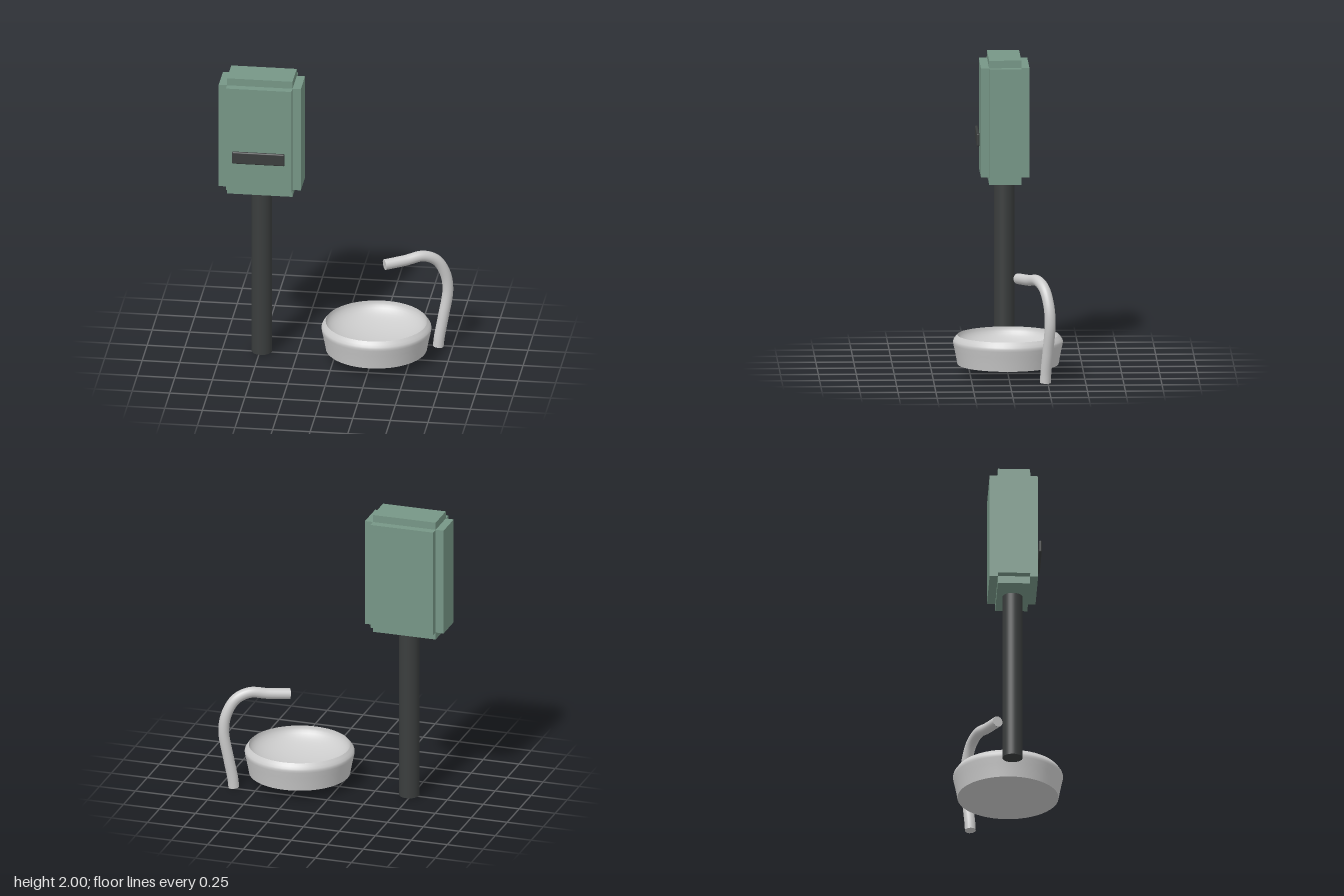
import * as THREE from 'three';
import { RoundedBoxGeometry } from 'three/addons/geometries/RoundedBoxGeometry.js';

const grey = new THREE.MeshStandardMaterial({ color: 0xcccccc });
const green = new THREE.MeshStandardMaterial({ color: 0x769686 });
const dark = new THREE.MeshStandardMaterial({ color: 0x3a3d3d });

function add(parent, name, geometry, material, x = 0, y = 0, z = 0) {
  const mesh = new THREE.Mesh(geometry, material);
  mesh.name = name;
  mesh.position.set(x, y, z);
  parent.add(mesh);
  return mesh;
}

function group(parent, name) {
  const g = new THREE.Group();
  g.name = name;
  parent.add(g);
  return g;
}

export function createModel() {
  const model = new THREE.Group();
  model.name = 'dispenserAndBasin';

  // Dispenser: three crossed boxes give the stepped edges
  const dispenser = group(model, 'dispenser');
  const cx = -0.487, cy = 1.585;
  [
    ['cabinetSides', 0.546, 0.73, 0.212],
    ['cabinetTopAndBottom', 0.436, 0.83, 0.212],
    ['cabinetFrontAndBack', 0.436, 0.73, 0.32],
  ].forEach(([name, w, h, d]) => add(dispenser, name, new THREE.BoxGeometry(w, h, d), green, cx, cy, 0));
  add(dispenser, 'slot', new RoundedBoxGeometry(0.35, 0.085, 0.02, 3, 0.009), dark, cx, 1.463, 0.177);
  add(dispenser, 'post', new THREE.CylinderGeometry(0.067, 0.067, 1.18, 32), dark, cx, 0.59, 0);

  // Basin: flat base, flared wall, rolled shoulder
  const basin = group(model, 'basin');
  basin.position.x = 0.275;
  const shell = [[0.334, 0.065], [0.342, 0.11], [0.352, 0.16], [0.361, 0.2], [0.363, 0.215],
    [0.36, 0.227], [0.35, 0.242], [0.335, 0.26]].map(([r, y]) => new THREE.Vector2(r, y));
  add(basin, 'basinWall', new THREE.LatheGeometry(shell, 48), grey);
  const base = add(basin, 'basinBase', new THREE.CircleGeometry(0.334, 48), grey, 0, 0.065, 0);
  base.rotation.x = Math.PI / 2;

  // Hollow of the basin, a shallow elliptical dish
  const dish = [];
  for (let i = 0; i <= 14; i++) {
    const a = (i / 14) * Math.PI / 2;
    dish.push(new THREE.Vector2(0.335 * Math.cos(a), 0.26 - 0.14 * Math.sin(a)));
  }
  add(basin, 'basinHollow', new THREE.LatheGeometry(dish, 48), grey);

  // Faucet: a bent tube lying in one slanted vertical plane
  const faucet = group(model, 'faucet');
  const path = new THREE.CatmullRomCurve3(
    [[0.655, 0], [0.661, 0.06], [0.685, 0.2], [0.715, 0.4], [0.698, 0.52], [0.643, 0.622],
      [0.56, 0.664], [0.45, 0.65], [0.32, 0.64]]
      .map(([x, y]) => new THREE.Vector3(x, y, -0.066 - 0.5 * (x - 0.32))));
  add(faucet, 'spout', new THREE.TubeGeometry(path, 60, 0.036, 20), grey);
  [0, 1].forEach((t) => {
    const cap = add(faucet, t ? 'spoutEnd' : 'spoutFoot', new THREE.CircleGeometry(0.036, 20), grey);
    const p = path.getPoint(t);
    cap.position.copy(p);
    cap.lookAt(p.clone().addScaledVector(path.getTangent(t), t ? 1 : -1));
  });

  return model;
}
